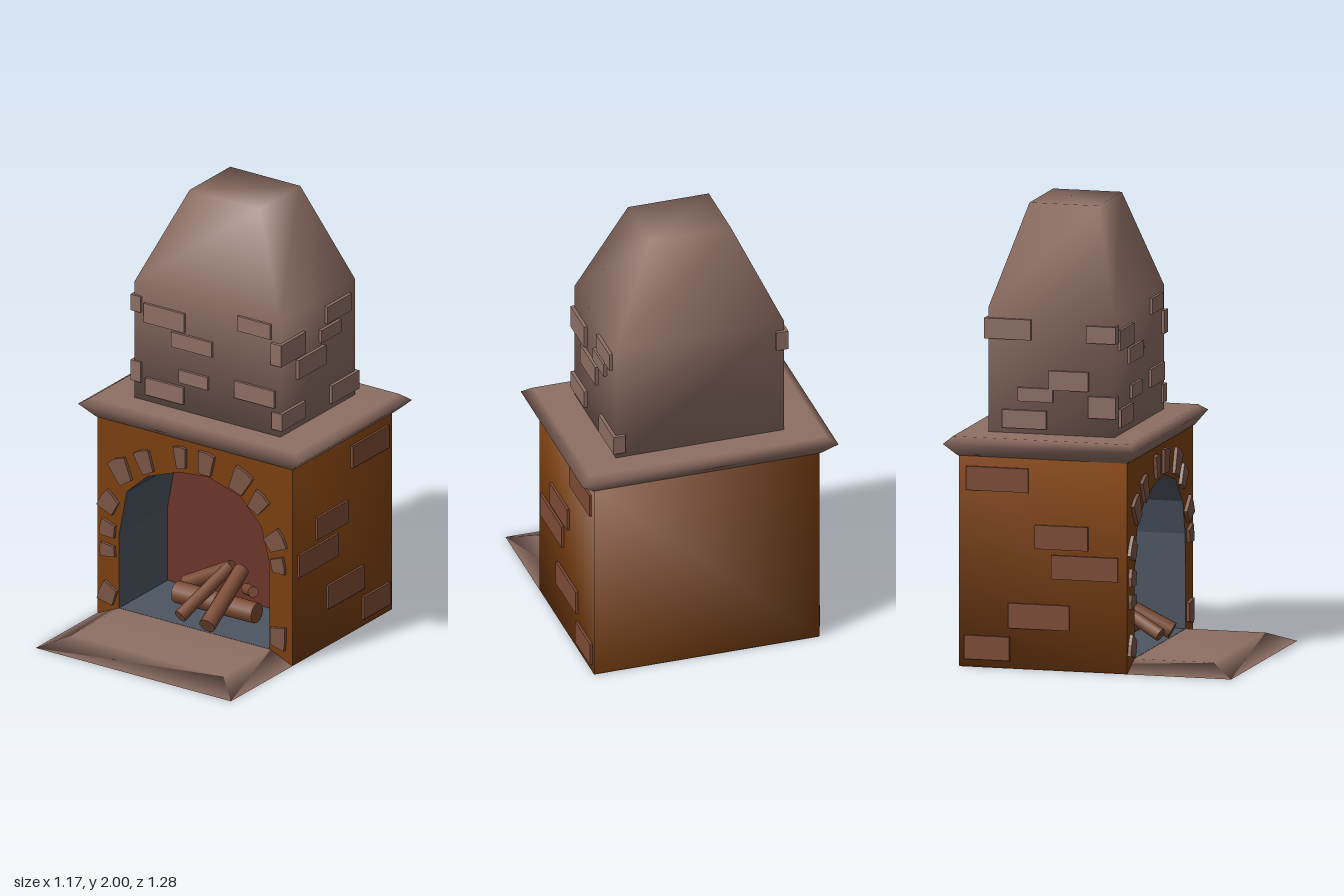
import * as THREE from 'three';

const mat = (name, color, side = THREE.FrontSide) => {
  const m = new THREE.MeshStandardMaterial({ color, side });
  m.name = name;
  return m;
};

// Joins closed rings of points into a smooth skin, with optional end caps
function loft(rings, capStart = true, capEnd = true) {
  const n = rings[0].length, last = (rings.length - 1) * n, index = [];
  for (let r = 0; r < rings.length - 1; r++) {
    for (let i = 0; i < n; i++) {
      const j = (i + 1) % n, a = r * n + i, b = r * n + j;
      index.push(a, b, b + n, a, b + n, a + n);
    }
  }
  for (let i = 1; i < n - 1; i++) {
    if (capStart) index.push(0, i + 1, i);
    if (capEnd) index.push(last, last + i, last + i + 1);
  }
  const g = new THREE.BufferGeometry();
  g.setAttribute('position', new THREE.Float32BufferAttribute(rings.flat(2), 3));
  g.setIndex(index);
  g.computeVertexNormals();
  return g;
}

// Rectangle at height y, half width x, from zFront to zBack
const rect = (y, x, zFront, zBack) => [[-x, y, zFront], [x, y, zFront], [x, y, zBack], [-x, y, zBack]];

export function createModel() {
  const root = new THREE.Group();
  root.name = 'fireplace';

  const plaster = mat('greyBrownPlaster', 0x8d6e63);
  const clay = mat('orangeBrownWall', 0x7a3f10);
  const brickRed = mat('brownBrick', 0x7c4a35);
  const stone = mat('archStone', 0x7a5444);
  const fireBack = mat('redFireback', 0x6b342b);
  const soot = mat('blueGreyLining', 0x4c5561, THREE.DoubleSide);
  const wood = mat('logWood', 0x794a33);

  const add = (name, geometry, material, parent = root) => {
    const m = new THREE.Mesh(geometry, material);
    m.name = name;
    parent.add(m);
    return m;
  };
  const group = (name) => {
    const g = new THREE.Group();
    g.name = name;
    root.add(g);
    return g;
  };
  const block = (name, parent, material, x0, x1, y0, y1, z0, z1) => {
    const m = add(name, new THREE.BoxGeometry(Math.abs(x1 - x0), Math.abs(y1 - y0), Math.abs(z1 - z0)), material, parent);
    m.position.set((x0 + x1) / 2, (y0 + y1) / 2, (z0 + z1) / 2);
  };

  // Hearth slab, mantel and tapering chimney
  add('hearthSlab', loft([rect(0, 0.515, 0.64, -0.59), rect(0.05, 0.4, 0.53, 0.17)]), plaster);
  add('mantel', loft([rect(0.93, 0.52, 0.175, -0.595), rect(0.988, 0.585, 0.217, -0.643), rect(1.017, 0.54, 0.185, -0.61)]), plaster);
  add('chimney', loft([rect(1.0, 0.385, 0.075, -0.495), rect(1.565, 0.385, 0.075, -0.495), rect(2, 0.185, -0.057, -0.367)]), plaster);

  // Body shell, open at the front
  const wall = (z) => [[-0.515, 0.002, z], [0.515, 0.002, z], [0.515, 0.935, z], [-0.515, 0.935, z]];
  const front = 0.17, back = -0.2;
  add('bodyShell', loft([wall(-0.59), wall(front)], true, false), clay);

  // Front wall with arched opening
  const arch = [[-0.4, 0.051], [0.395, 0.051], [0.39, 0.47], [0.35, 0.62], [0.24, 0.735], [0.07, 0.785],
    [-0.085, 0.77], [-0.25, 0.71], [-0.36, 0.61], [-0.4, 0.4]];
  const archPoints = arch.map(([x, y]) => new THREE.Vector2(x, y));
  const facade = new THREE.Shape(wall(0).map(([x, y]) => new THREE.Vector2(x, y)));
  facade.holes.push(new THREE.Path(archPoints));
  add('frontWall', new THREE.ShapeGeometry(facade), clay).position.z = front;

  // Firebox lining and back
  const archRing = (z) => arch.map(([x, y]) => [x, y, z]);
  const lining = loft([archRing(front), archRing(back)], false, false).toNonIndexed();
  lining.computeVertexNormals();
  add('fireboxLining', lining, soot);
  add('fireboxBack', new THREE.ShapeGeometry(new THREE.Shape(archPoints)), fireBack).position.z = back;

  // Wedge stones around the opening: x, y, width, height, turn
  const stones = group('archStones');
  [[-0.385, 0.705, 0.1, 0.12, 0.5], [-0.26, 0.778, 0.085, 0.11, 0.4], [-0.07, 0.845, 0.065, 0.105, 0.1],
    [0.063, 0.848, 0.085, 0.11, -0.1], [0.245, 0.81, 0.1, 0.12, -0.45], [0.34, 0.73, 0.085, 0.1, -0.6],
    [0.43, 0.57, 0.095, 0.1, -1.0], [0.445, 0.46, 0.08, 0.07, -1.4], [0.445, 0.12, 0.11, 0.08, -1.6],
    [-0.45, 0.54, 0.1, 0.09, 1.0], [-0.455, 0.415, 0.08, 0.08, 1.4], [-0.455, 0.315, 0.065, 0.08, 1.6],
    [-0.455, 0.11, 0.1, 0.085, 1.2]].forEach(([x, y, w, h, turn]) => {
    const a = w / 2, b = h / 2;
    const s = new THREE.Shape([[-a * 0.72, -b], [a * 0.72, -b * 0.9], [a, b * 0.85], [0, b], [-a, b * 0.9]]
      .map(([px, py]) => new THREE.Vector2(px, py)));
    const m = add('archStone', new THREE.ExtrudeGeometry(s, { depth: 0.035, bevelEnabled: false }), stone, stones);
    m.position.set(x, y, 0.15);
    m.rotation.z = turn;
  });

  // Bricks on both body sides: z front, z back, y low, y high
  const bodyBricks = group('bodyBricks');
  [[-0.275, -0.555, 0.78, 0.885], [-0.005, -0.245, 0.535, 0.64], [0.13, -0.17, 0.405, 0.51],
    [-0.09, -0.365, 0.18, 0.29], [-0.36, -0.565, 0.035, 0.14]].forEach(([z1, z0, y0, y1]) => {
    for (const side of [-1, 1]) block('bodyBrick', bodyBricks, brickRed, side * 0.49, side * 0.526, y0, y1, z0, z1);
  });

  // Bricks on the chimney front: x left, x right, y low, y high
  const chimneyBricks = group('chimneyBricks');
  [[-0.33, -0.115, 1.39, 1.48], [0.165, 0.34, 1.47, 1.54], [-0.185, 0.03, 1.31, 1.38],
    [-0.145, 0.01, 1.15, 1.21], [-0.32, -0.12, 1.05, 1.13], [0.15, 0.36, 1.15, 1.23]].forEach(([x0, x1, y0, y1]) =>
    block('chimneyFrontBrick', chimneyBricks, plaster, x0, x1, y0, y1, 0.04, 0.087));

  // Bricks on the chimney sides, some wrapping the corners: side, z front, z back, y low, y high
  [[1, 0.09, -0.1, 1.355, 1.457], [1, -0.265, -0.45, 1.435, 1.515], [1, -0.22, -0.37, 1.36, 1.42],
    [1, -0.045, -0.255, 1.25, 1.34], [1, 0.085, -0.1, 1.05, 1.13], [1, -0.3, -0.51, 1.045, 1.13],
    [-1, 0.085, -0.05, 1.43, 1.505], [-1, -0.3, -0.51, 1.43, 1.52], [-1, -0.04, -0.22, 1.215, 1.3],
    [-1, 0.085, -0.04, 1.1, 1.195], [-1, -0.2, -0.36, 1.16, 1.22], [-1, -0.23, -0.43, 1.04, 1.12]]
    .forEach(([s, z1, z0, y0, y1]) => block('chimneySideBrick', chimneyBricks, plaster, s * 0.345, s * 0.4, y0, y1, z0, z1));

  // Stacked logs: two end points and a radius
  const logs = group('logs');
  [[[-0.21, 0.115, 0], [0.21, 0.115, 0], 0.05], [[-0.22, 0.125, -0.08], [0.01, 0.25, -0.1], 0.035],
    [[0.085, 0.095, 0.2], [0.06, 0.25, -0.1], 0.038], [[-0.065, 0.1, 0.19], [0, 0.25, -0.09], 0.03],
    [[0.08, 0.16, -0.11], [0.17, 0.195, -0.03], 0.026]].forEach(([p, q, r]) => {
    const a = new THREE.Vector3(...p), b = new THREE.Vector3(...q), d = b.clone().sub(a);
    const m = add('log', new THREE.CylinderGeometry(r * 0.92, r, d.length(), 12), wood, logs);
    m.position.copy(a).add(b).multiplyScalar(0.5);
    m.quaternion.setFromUnitVectors(new THREE.Vector3(0, 1, 0), d.normalize());
  });

  return root;
}
